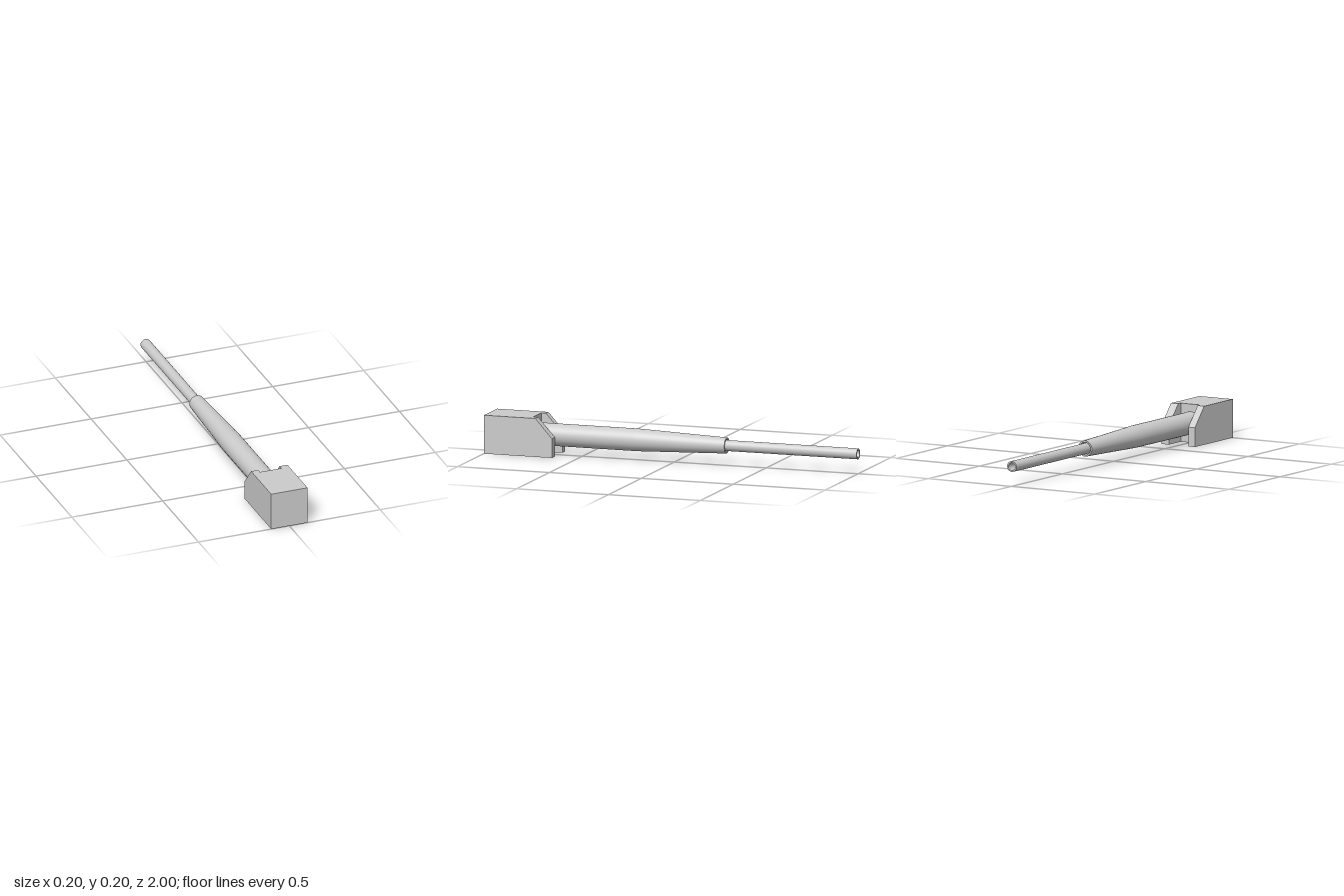
import * as THREE from 'three';

const AXIS_X = -0.003, AXIS_Y = 0.103;

// Turned part along z; profile holds [radius, z], duplicated points keep edges sharp
function turned(name, profile, material) {
  const group = new THREE.Group();
  group.name = name;
  for (let i = 0; i < profile.length; i++) {
    const pts = profile[i].map(([r, z]) => new THREE.Vector2(r, -z));
    const geo = new THREE.LatheGeometry(pts, 32);
    geo.rotateX(-Math.PI / 2); // lathe axis +y becomes -z
    geo.translate(AXIS_X, AXIS_Y, 0);
    const mesh = new THREE.Mesh(geo, material);
    mesh.name = name + 'Surface' + (i + 1);
    group.add(mesh);
  }
  return group;
}

// Breech block: U-shaped plan raised in two steps, rear cheek tops sloped back
function breechBlock(material) {
  const front = 1, rear = 0.63, slot = 0.745, w = 0.1, inL = 0.056, inR = -0.061;
  const plan = [[-w, front], [w, front], [w, rear], [inL, rear],
    [inL, slot], [inR, slot], [inR, rear], [-w, rear]];
  const shape = new THREE.Shape(plan.map(([x, z]) => new THREE.Vector2(x, -z)));
  const geo = new THREE.ExtrudeGeometry(shape, { depth: 0.2, steps: 2, bevelEnabled: false });
  geo.rotateX(-Math.PI / 2);
  const p = geo.attributes.position;
  for (let i = 0; i < p.count; i++) {
    if (p.getY(i) > 0.19 && p.getZ(i) < rear + 0.01) p.setZ(i, 0.72);
  }
  geo.computeVertexNormals();
  const mesh = new THREE.Mesh(geo, material);
  mesh.name = 'breechBlock';
  return mesh;
}

export function createModel() {
  const model = new THREE.Group();
  model.name = 'gunBarrel';
  const solid = new THREE.MeshStandardMaterial({ color: 0xcccccc });
  const open = new THREE.MeshStandardMaterial({ color: 0xcccccc, side: THREE.DoubleSide });

  model.add(breechBlock(solid));

  // Tapered sleeve: outside, end rim, recess and recess floor
  model.add(turned('sleeve', [
    [[0.058, 0.745], [0.058, 0.2]],
    [[0.058, 0.2], [0.041, -0.285]],
    [[0.041, -0.285], [0.033, -0.285]],
    [[0.033, -0.285], [0.033, -0.2]],
    [[0.033, -0.2], [0.028, -0.2]],
  ], open));

  // Slim inner tube: outside, muzzle rim, bore and bore end
  model.add(turned('barrelTube', [
    [[0.028, -0.2], [0.028, -1]],
    [[0.028, -1], [0.02, -1]],
    [[0.02, -1], [0.02, -0.28]],
    [[0.02, -0.28], [0, -0.28]],
  ], open));
  return model;
}
